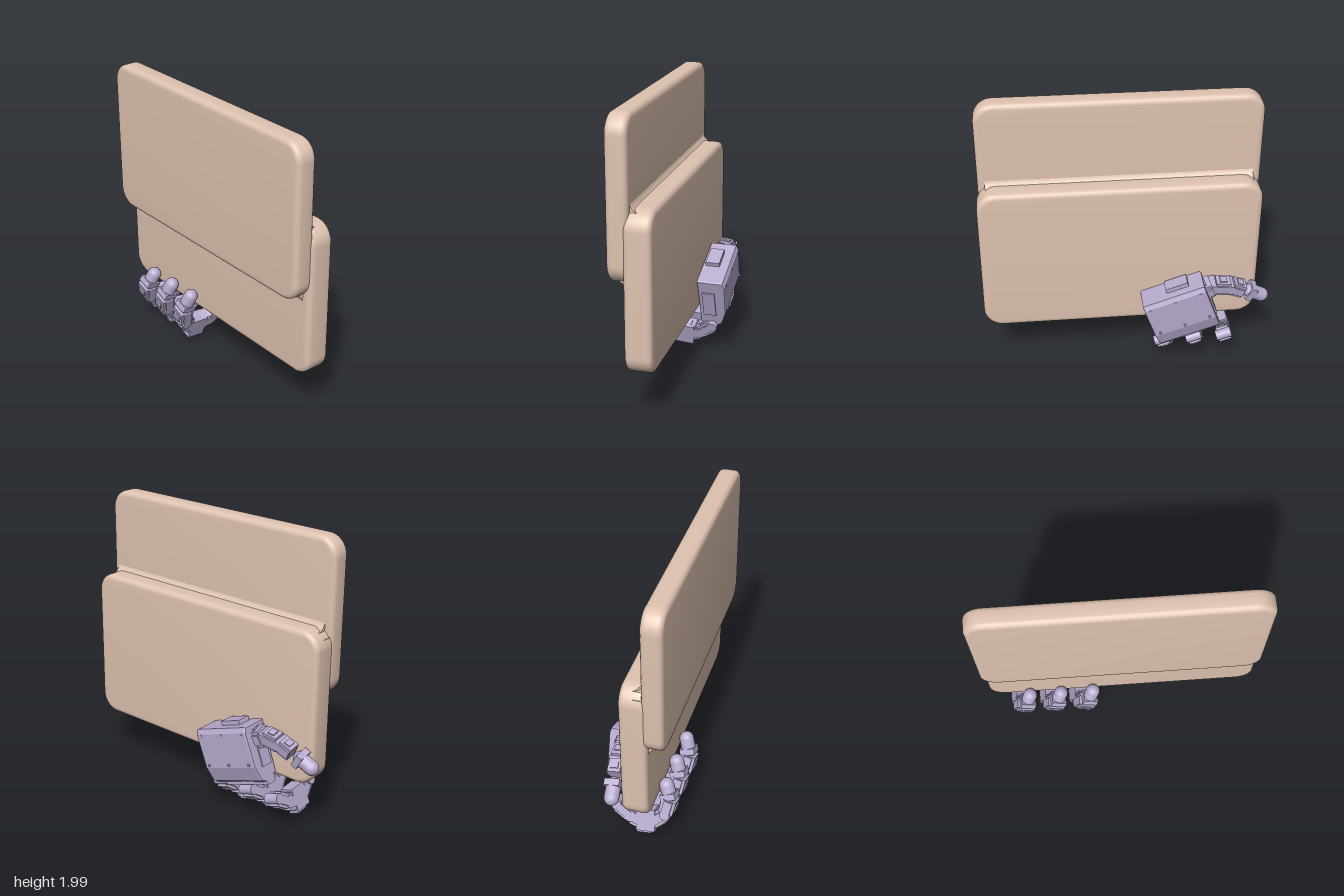
import * as THREE from 'three';
import { toCreasedNormals } from 'three/addons/utils/BufferGeometryUtils.js';

const tan = new THREE.MeshStandardMaterial({ color: 0xdfc3b1 });
const lilac = new THREE.MeshStandardMaterial({ color: 0xb9add0 });
const V = (x, y, z) => new THREE.Vector3(x, y, z);

function add(parent, name, geo, mat, x = 0, y = 0, z = 0) {
  const m = new THREE.Mesh(geo, mat);
  m.name = name;
  m.position.set(x, y, z);
  parent.add(m);
  return m;
}

// Rounded plate with softened edges, spanning the given limits
function plate(x0, x1, y0, y1, z0, z1, r, b) {
  const s = new THREE.Shape(), k = r - b;
  const l = x0 + b, rt = x1 - b, bt = y0 + b, t = y1 - b;
  s.moveTo(l + k, bt);
  s.lineTo(rt - k, bt);
  s.absarc(rt - k, bt + k, k, -Math.PI / 2, 0);
  s.lineTo(rt, t - k);
  s.absarc(rt - k, t - k, k, 0, Math.PI / 2);
  s.lineTo(l + k, t);
  s.absarc(l + k, t - k, k, Math.PI / 2, Math.PI);
  s.lineTo(l, bt + k);
  s.absarc(l + k, bt + k, k, Math.PI, Math.PI * 1.5);
  const g = new THREE.ExtrudeGeometry(s, {
    depth: z1 - z0 - 2 * b, bevelEnabled: true, bevelSize: b, bevelThickness: b,
    bevelSegments: 4, curveSegments: 8,
  });
  g.translate(0, 0, z0 + b);
  return toCreasedNormals(g, 0.7);
}

// Concave strip in the step; dy and dz point away from the inner corner
function fillet(y, z, dy, dz, x0, x1) {
  const s = new THREE.Shape();
  s.moveTo(-z, y);
  s.lineTo(-z - dz, y);
  s.quadraticCurveTo(-z - dz * 0.1, y + dy * 0.1, -z, y + dy);
  const g = new THREE.ExtrudeGeometry(s, { depth: x1 - x0, bevelEnabled: false, curveSegments: 6 });
  g.rotateY(Math.PI / 2);
  g.translate(x0, 0, 0);
  return toCreasedNormals(g, 0.7);
}

// Frame running from a to b, with x along the hinge
function linkFrame(parent, name, a, b, hinge) {
  const dir = b.clone().sub(a).normalize();
  const side = hinge.clone().addScaledVector(dir, -hinge.dot(dir)).normalize();
  const g = new THREE.Group();
  g.name = name;
  g.quaternion.setFromRotationMatrix(
    new THREE.Matrix4().makeBasis(side, dir, side.clone().cross(dir)));
  g.position.copy(a);
  parent.add(g);
  return g;
}

// Jointed link: housing, side cheeks, cover and hinge pin
function link(parent, name, a, b, w, d, hinge) {
  const g = linkFrame(parent, name, a, b, hinge), len = a.distanceTo(b);
  add(g, 'housing', new THREE.BoxGeometry(w * 0.8, len * 0.85, d), lilac, 0, len / 2, 0);
  for (const s of [-1, 1]) {
    add(g, 'cheek', new THREE.BoxGeometry(w * 0.12, len * 0.7, d * 0.6), lilac, s * w * 0.44, len * 0.55, 0);
    add(g, 'cover', new THREE.BoxGeometry(w * 0.5, len * 0.4, d * 0.12), lilac, 0, len * 0.5, s * d * 0.52);
  }
  const pin = add(g, 'hingePin', new THREE.CylinderGeometry(d * 0.36, d * 0.36, w, 14), lilac);
  pin.rotation.z = Math.PI / 2;
}

// Rounded fingertip between two sphere centres
function tip(parent, a, b, r, hinge) {
  const g = linkFrame(parent, 'fingertip', a, b, hinge), len = a.distanceTo(b);
  add(g, 'pad', new THREE.CapsuleGeometry(r, len, 6, 16), lilac, 0, len / 2, 0);
  add(g, 'collar', new THREE.BoxGeometry(r * 2.1, r * 0.9, r * 2.1), lilac);
}

export function createModel() {
  const root = new THREE.Group();
  root.name = 'handHoldingSteppedSlab';

  // Two overlapping plates, slightly turned
  const slab = new THREE.Group();
  slab.name = 'steppedSlab';
  slab.rotation.set(0, 0.016, 0.008);
  root.add(slab);
  add(slab, 'upperPlate', plate(-0.915, 0.98, 0.925, 1.99, 0.063, 0.205, 0.13, 0.035), tan);
  add(slab, 'lowerPlate', plate(-0.915, 0.993, 0.34, 1.41, -0.085, 0.095, 0.13, 0.035), tan);
  add(slab, 'core', new THREE.BoxGeometry(1.86, 0.36, 0.12), tan, 0.032, 1.17, 0.07);
  add(slab, 'backFillet', fillet(1.38, 0.068, 0.08, -0.1, -0.86, 0.93), tan).material.side = THREE.DoubleSide;
  add(slab, 'frontFillet', fillet(0.96, 0.09, -0.09, 0.08, -0.86, 0.93), tan);

  const hand = new THREE.Group();
  hand.name = 'mechanicalHand';
  root.add(hand);

  // Palm: side profile with a chamfered knuckle end, extruded across the hand
  const palm = new THREE.Group();
  palm.name = 'palm';
  palm.position.set(-0.375, 0.465, 0);
  palm.rotation.z = -0.34;
  hand.add(palm);
  const side = new THREE.Shape([[0.09, -0.17], [0.2, -0.2], [0.235, -0.18], [0.27, -0.08],
    [0.278, 0.16], [0.265, 0.19], [0.09, 0.19]].map(([x, y]) => new THREE.Vector2(x, y)));
  const body = new THREE.ExtrudeGeometry(side, {
    depth: 0.42, bevelEnabled: true, bevelSize: 0.005, bevelThickness: 0.012, bevelSegments: 1 });
  body.rotateY(Math.PI / 2);
  body.translate(-0.21, 0, 0);
  add(palm, 'palmHousing', body, lilac);
  for (const x of [-0.18, 0, 0.18]) for (const y of [-0.06, 0.15]) {
    const screw = add(palm, 'screw', new THREE.CylinderGeometry(0.009, 0.009, 0.012, 10), lilac, x, y, -0.281);
    screw.rotation.x = Math.PI / 2;
  }
  for (const s of [-1, 1])
    add(palm, 'sidePlate', new THREE.BoxGeometry(0.02, 0.2, 0.09), lilac, s * 0.222, 0, -0.16);
  add(palm, 'wristBlock', new THREE.BoxGeometry(0.16, 0.04, 0.1), lilac, -0.04, 0.205, -0.155);
  add(palm, 'knuckleBar', new THREE.BoxGeometry(0.42, 0.06, 0.08), lilac, -0.01, -0.2, -0.15);

  // Three fingers curling under the slab and up its front
  const hingeX = V(1, 0, 0);
  [[-0.745, 0.065, 0.87], [-0.535, 0.04, 0.97], [-0.315, 0.02, 1.05]].forEach(([x, y, stretch]) => {
    const f = new THREE.Group();
    f.name = 'finger';
    f.position.set(x, y, 0);
    f.rotation.z = -0.33;
    hand.add(f);
    const p = [[0.19, -0.17], [0.12, -0.07], [0.08, 0.06], [0.2, 0.17], [0.33, 0.19], [0.345, 0.175], [0.425, 0.15]]
      .map(([py, pz]) => V(0, py * stretch, pz));
    link(f, 'knuckleLink', p[0], p[1], 0.11, 0.1, hingeX);
    link(f, 'proximalLink', p[1], p[2], 0.1, 0.12, hingeX);
    add(f, 'motorBlock', new THREE.BoxGeometry(0.1, 0.16, 0.13), lilac, 0, 0.1, 0.04).rotation.x = -0.1;
    add(f, 'motorCap', new THREE.BoxGeometry(0.07, 0.03, 0.1), lilac, 0, 0.015, 0.035).rotation.x = -0.1;
    link(f, 'middleLink', p[2], p[3], 0.1, 0.1, hingeX);
    link(f, 'distalLink', p[3], p[4], 0.135, 0.1, hingeX);
    tip(f, p[5], p[6], 0.05, hingeX);
  });

  // Thumb reaching behind the slab past its edge
  const thumb = new THREE.Group();
  thumb.name = 'thumb';
  hand.add(thumb);
  const t = [V(-0.47, 0.6, -0.17), V(-0.6, 0.65, -0.155), V(-0.72, 0.635, -0.15),
    V(-0.82, 0.59, -0.14), V(-0.87, 0.565, -0.13), V(-0.95, 0.52, -0.12)];
  const hingeT = V(0.1, 0.2, 1);
  link(thumb, 'thumbBase', t[0], t[1], 0.13, 0.12, hingeT);
  link(thumb, 'thumbMiddle', t[1], t[2], 0.11, 0.11, hingeT);
  link(thumb, 'thumbDistal', t[2], t[3], 0.11, 0.1, hingeT);
  tip(thumb, t[4], t[5], 0.05, hingeT);

  return root;
}
